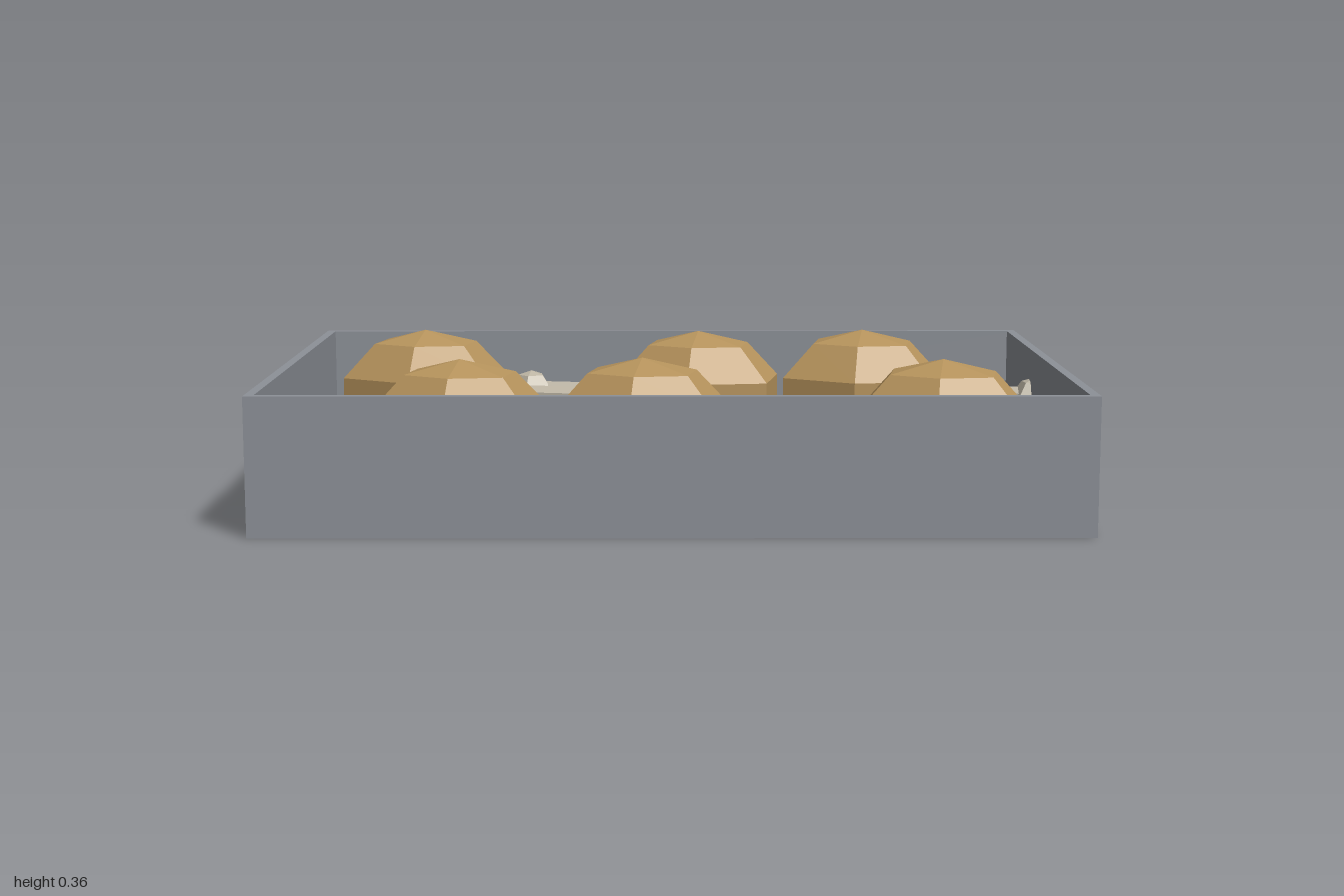
import * as THREE from 'three';

const trayGrey = new THREE.MeshStandardMaterial({ color: 0x8d9198 });
const meatBrown = new THREE.MeshStandardMaterial({ color: 0xb6935c, flatShading: true });
const boneCream = new THREE.MeshStandardMaterial({ color: 0xbdb5a4, flatShading: true });

function part(name, geometry, material) {
  const mesh = new THREE.Mesh(geometry, material);
  mesh.name = name;
  return mesh;
}

// Shallow open box: four walls around a thin floor
function makeTray() {
  const tray = new THREE.Group();
  tray.name = 'tray';
  const w = 0.95, d = 0.632, t = 0.022, h = 0.32, floorHeight = 0.015;
  for (const s of [-1, 1]) {
    const longWall = part('longWall', new THREE.BoxGeometry(2 * w, h, t), trayGrey);
    longWall.position.set(0, h / 2, s * (d - t / 2));
    const shortWall = part('shortWall', new THREE.BoxGeometry(t, h, 2 * (d - t)), trayGrey);
    shortWall.position.set(s * (w - t / 2), h / 2, 0);
    tray.add(longWall, shortWall);
  }
  const floor = part('floor', new THREE.BoxGeometry(2 * (w - t), floorHeight, 2 * (d - t)), trayGrey);
  floor.position.y = floorHeight / 2;
  tray.add(floor);
  return tray;
}

// Six-sided faceted lump, with its blunt ends widened a little
function meatGeometry() {
  const g = new THREE.SphereGeometry(1, 6, 5).rotateY(Math.PI / 2).scale(0.237, 0.175, 0.171);
  const p = g.attributes.position;
  for (let i = 0; i < p.count; i++) {
    if (Math.abs(p.getX(i)) > 0.01) p.setZ(i, p.getZ(i) * 1.16);
  }
  g.computeVertexNormals();
  return g;
}

const meatShape = meatGeometry();
const boneShape = new THREE.CylinderGeometry(0.035, 0.035, 0.2, 5).rotateZ(Math.PI / 2);
const knobShape = new THREE.SphereGeometry(0.06, 5, 5).rotateY(Math.PI / 2);

// Meat with its bone pointing to -x
function makeDrumstick() {
  const g = new THREE.Group();
  g.name = 'drumstick';
  const bone = part('bone', boneShape, boneCream);
  bone.position.x = -0.35;
  const knob = part('boneKnob', knobShape, boneCream);
  knob.position.x = -0.45;
  g.add(part('meat', meatShape, meatBrown), bone, knob);
  return g;
}

export function createModel() {
  const model = new THREE.Group();
  model.name = 'trayOfDrumsticks';
  model.add(makeTray());

  // x, z, and whether the bone points to +x
  const places = [
    [-0.645, -0.303, true], [0.07, -0.275, false], [0.5, -0.303, true],
    [-0.5, 0.298, false], [-0.07, 0.27, true], [0.64, 0.298, false],
  ];
  for (const [x, z, turned] of places) {
    const drumstick = makeDrumstick();
    drumstick.position.set(x, 0.185, z);
    drumstick.rotation.y = -0.19 + (turned ? Math.PI : 0);
    model.add(drumstick);
  }
  return model;
}
